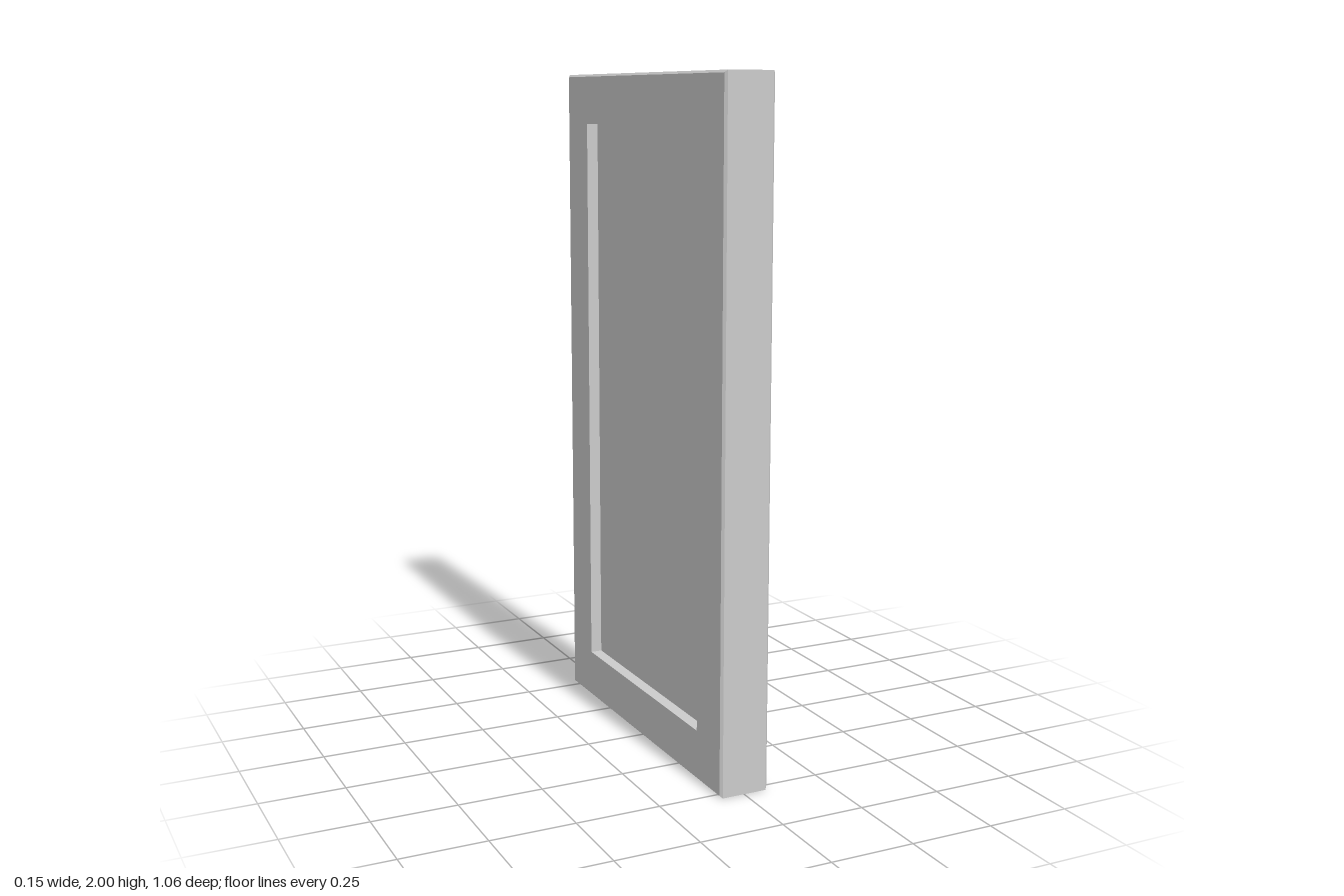
import * as THREE from 'three';
import { RoundedBoxGeometry } from 'three/addons/geometries/RoundedBoxGeometry.js';

const HALF_W = 0.53, HALF_H = 1, T = 0.075; // half width, half height, half thickness
const INSET = 0.149;                        // frame width around the opening
const FLOOR = 0.045, BACK = -0.04;          // panel faces

// Sweep a closed (inset, x) section around the rectangle with mitred corners
function mitredFrame(section) {
  const corners = [[1, -1], [-1, -1], [-1, 1], [1, 1]];
  const at = (k, i) => {
    const [sz, sy] = corners[k % 4], [d, x] = section[i % section.length];
    return [x, HALF_H + sy * (HALF_H - d), sz * (HALF_W - d)];
  };
  const pos = [];
  for (let k = 0; k < 4; k++) {
    for (let i = 0; i < section.length; i++) {
      const a = at(k, i), b = at(k, i + 1), c = at(k + 1, i + 1), d = at(k + 1, i);
      pos.push(...a, ...c, ...b, ...a, ...d, ...c);
    }
  }
  const g = new THREE.BufferGeometry();
  g.setAttribute('position', new THREE.Float32BufferAttribute(pos, 3));
  g.computeVertexNormals();
  return g;
}

// Horizontal bar along z with chamfered front edges
function barGeometry(height, x0, x1, length, c) {
  const h = height / 2;
  const s = new THREE.Shape([
    [x0, -h], [x1 - c, -h], [x1, -h + c], [x1, h - c], [x1 - c, h], [x0, h],
  ].map(([x, y]) => new THREE.Vector2(x, y)));
  return new THREE.ExtrudeGeometry(s, { depth: length, bevelEnabled: false })
    .translate(0, 0, -length / 2);
}

export function createModel() {
  const group = new THREE.Group();
  const mat = new THREE.MeshStandardMaterial({ color: 0xcccccc });
  const flat = new THREE.MeshStandardMaterial({ color: 0xcccccc, flatShading: true });
  const add = (name, geo, m, x = 0, y = 0) => {
    const mesh = new THREE.Mesh(geo, m);
    mesh.name = name;
    mesh.position.set(x, y, 0);
    group.add(mesh);
  };

  // Moulded frame: border, groove, inner rim, and plain back
  add('frame', mitredFrame([
    [0, -T + 0.007], [0, T - 0.007], [0.007, T],
    [0.047, T], [0.052, T - 0.005], [0.052, FLOOR],
    [0.1, FLOOR], [0.1, T - 0.005], [0.105, T],
    [0.144, T], [INSET, T - 0.005], [INSET, -T], [0.007, -T],
  ]), flat);

  // Recessed panel closing the opening
  const w = 2 * (HALF_W - INSET), h = 2 * (HALF_H - INSET);
  add('panel', new THREE.BoxGeometry(FLOOR - BACK, h + 0.01, w + 0.01), mat,
    (FLOOR + BACK) / 2, HALF_H);

  // Raised slats, with a lower rounded rib in each gap between them
  const gaps = 12, slatH = 0.0735;
  const gapH = (h - (gaps - 1) * slatH) / gaps;
  const slat = barGeometry(slatH, FLOOR - 0.01, T - 0.001, w + 0.004, 0.005);
  const rib = new RoundedBoxGeometry(0.04, 0.044, w - 0.03, 2, 0.007);
  for (let i = 0; i < gaps; i++) {
    const y = INSET + gapH / 2 + i * (gapH + slatH);
    add('rib', rib, mat, FLOOR - 0.005, y);
    if (i < gaps - 1) add('slat', slat, flat, 0, y + (gapH + slatH) / 2);
  }
  return group;
}
